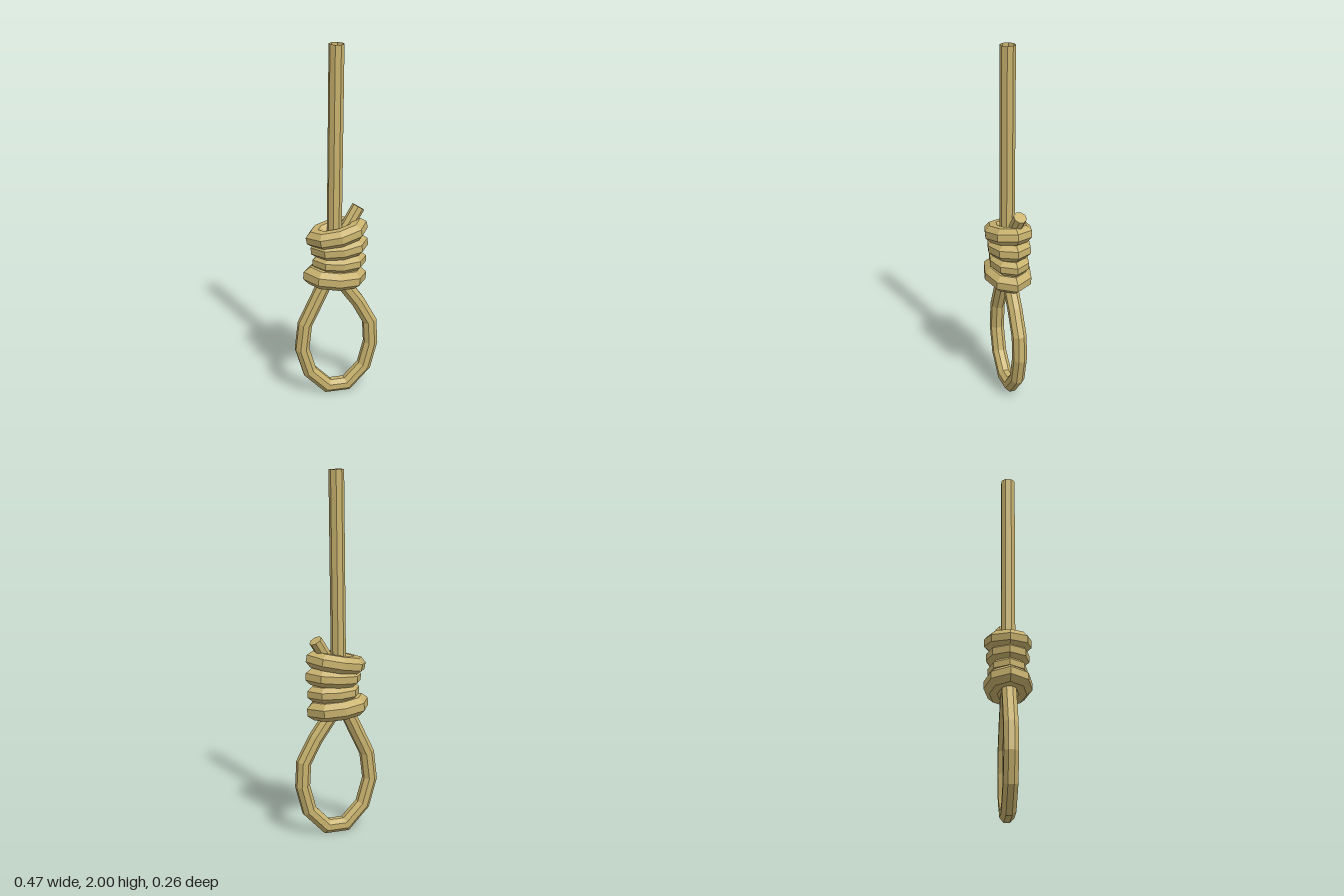
import * as THREE from 'three';

const SIDES = 8;
const V = (x, y, z = 0) => new THREE.Vector3(x, y, z);

// Sweeps an octagonal section along a polyline with mitred corners.
// radius is measured to the flats; ref is the section's side axis.
function sweep(points, radius, ref, { closed = false, cap = false } = {}) {
  const n = points.length, pos = [], index = [];
  const R = radius / Math.cos(Math.PI / SIDES);
  points.forEach((p, i) => {
    const prev = closed ? points[(i + n - 1) % n] : points[Math.max(i - 1, 0)];
    const next = closed ? points[(i + 1) % n] : points[Math.min(i + 1, n - 1)];
    const d0 = p.clone().sub(prev).normalize();
    const d1 = next.clone().sub(p).normalize();
    const t = d0.clone().add(d1).normalize();
    const miter = 1 / Math.max(0.6, Math.max(t.dot(d0), t.dot(d1)));
    const b = ref.clone().addScaledVector(t, -ref.dot(t)).normalize();
    const side = b.clone().cross(t);
    for (let j = 0; j < SIDES; j++) {
      const a = ((j + 0.5) / SIDES) * Math.PI * 2;
      const v = p.clone().addScaledVector(side, Math.cos(a) * R * miter)
        .addScaledVector(b, Math.sin(a) * R);
      pos.push(v.x, v.y, v.z);
    }
  });
  for (let i = 0; i < (closed ? n : n - 1); i++) {
    const k = (i + 1) % n;
    for (let j = 0; j < SIDES; j++) {
      const m = (j + 1) % SIDES;
      const a = i * SIDES + j, b = i * SIDES + m, c = k * SIDES + j, d = k * SIDES + m;
      index.push(a, b, c, b, d, c);
    }
  }
  if (cap) {
    const s = (n - 1) * SIDES;
    for (let j = 1; j < SIDES - 1; j++) index.push(s, s + j, s + j + 1);
  }
  const g = new THREE.BufferGeometry();
  g.setAttribute('position', new THREE.Float32BufferAttribute(pos, 3));
  g.setIndex(index);
  const flat = g.toNonIndexed();
  flat.computeVertexNormals();
  return flat;
}

export function createModel() {
  const group = new THREE.Group();
  const rope = new THREE.MeshStandardMaterial({ color: 0xc8b26e, side: THREE.DoubleSide });
  rope.name = 'rope tan';
  rope.flatShading = true;

  const add = (name, geometry) => {
    const mesh = new THREE.Mesh(geometry, rope);
    mesh.name = name;
    group.add(mesh);
  };
  const zAxis = V(0, 0, 1);

  // Long straight rope, open at the top
  add('hangingRope', sweep([V(-0.012, 0.78), V(-0.01, 1.0), V(0.002, 2)], 0.038, zAxis));

  // Lower loop, both ends running up into the knot
  add('lowerLoop', sweep([
    V(-0.005, 0.82), V(-0.07, 0.667), V(-0.18, 0.44), V(-0.198, 0.29), V(-0.155, 0.143),
    V(-0.052, 0.038), V(0.06, 0.038), V(0.162, 0.143), V(0.2, 0.286), V(0.193, 0.42),
    V(0.123, 0.55), V(0.03, 0.68), V(-0.01, 0.82),
  ], 0.038, zAxis));

  // Knot coils: outer left x, left y, outer right x, right y, outer z, tube radius
  const coils = [
    [-0.183, 0.73, 0.168, 0.705, 0.131, 0.05],
    [-0.13, 0.805, 0.167, 0.802, 0.108, 0.042],
    [-0.14, 0.88, 0.177, 0.898, 0.118, 0.046],
    [-0.166, 0.945, 0.174, 0.993, 0.13, 0.046],
  ];
  coils.forEach(([x0, y0, x1, y1, zOut, r], k) => {
    const cx = (x0 + x1) / 2, cy = (y0 + y1) / 2;
    const rx = (x1 - x0) / 2 - r * 1.13, rz = zOut - r * 1.05;
    const slope = (y1 - y0) / (x1 - x0 - 2 * r);
    const points = [];
    for (let i = 0; i < 8; i++) {
      const a = (i / 8) * Math.PI * 2;
      const x = Math.cos(a) * rx;
      points.push(V(cx + x, cy + x * slope, Math.sin(a) * rz));
    }
    add(`knotCoil${k + 1}`, sweep(points, r, V(-slope, 1, 0).normalize(), { closed: true }));
  });

  // Short loose end sticking out of the knot
  add('looseEnd', sweep([V(-0.01, 0.87, 0.01), V(0.05, 0.975, -0.008), V(0.131, 1.1, -0.025)],
    0.034, zAxis, { cap: true }));

  return group;
}
